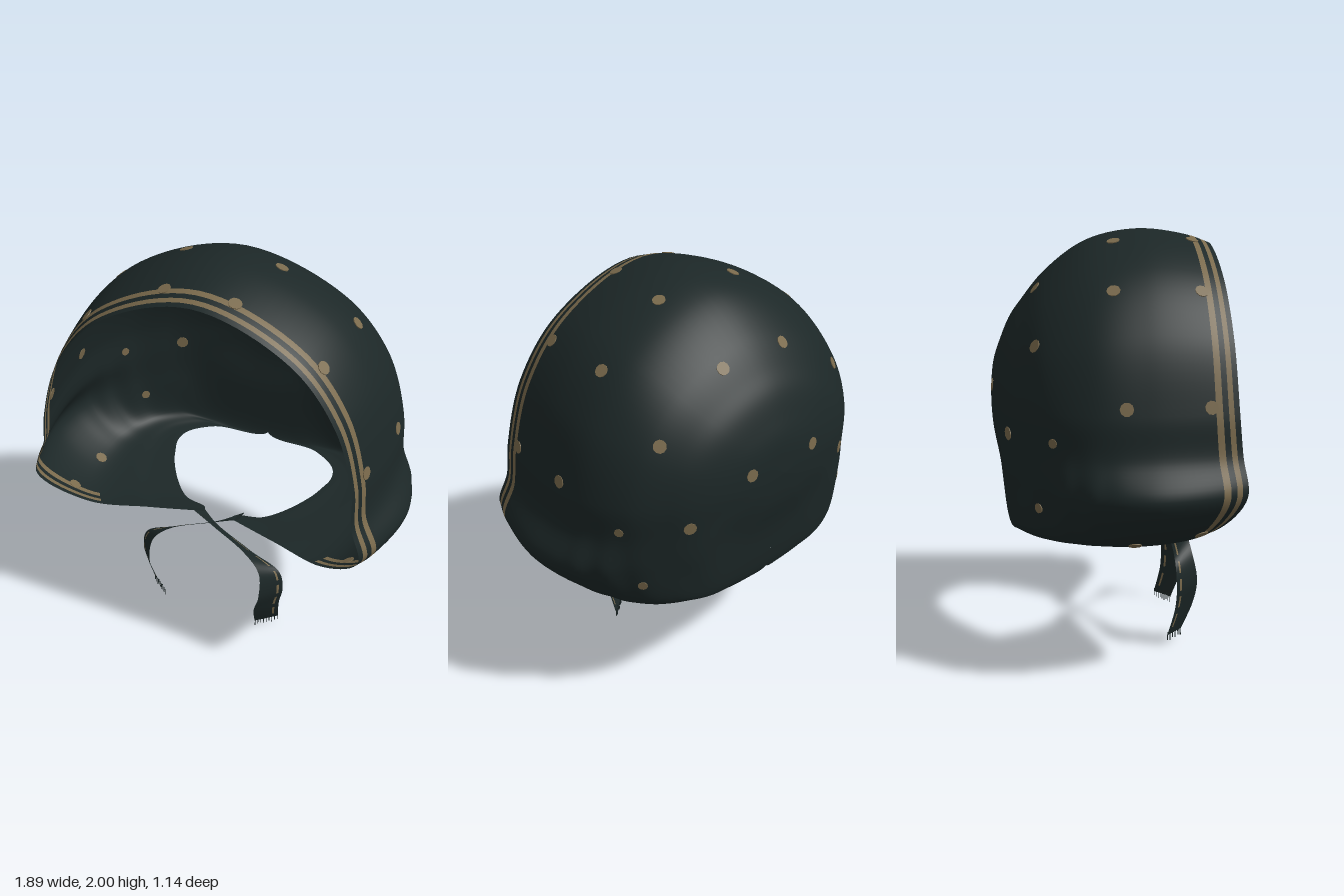
import * as THREE from 'three';

const cloth = new THREE.MeshStandardMaterial({ color: 0x1c2727, side: THREE.DoubleSide });
cloth.name = 'dark teal cloth';
const gold = new THREE.MeshStandardMaterial({ color: 0x7a6a4c, side: THREE.DoubleSide });
gold.name = 'dull gold print';

// Grid of points (rows of equal length) to a sheet; isGold(row, col) picks the colour of each cell
function sheet(rows, isGold) {
  const geo = new THREE.BufferGeometry();
  const n = rows[0].length, faces = [[], []];
  geo.setAttribute('position', new THREE.Float32BufferAttribute(rows.flat().flatMap(p => [p.x, p.y, p.z]), 3));
  for (let r = 0; r < rows.length - 1; r++) {
    for (let c = 0; c < n - 1; c++) {
      const a = r * n + c, b = a + 1, d = a + n, e = d + 1;
      faces[isGold(r, c) ? 1 : 0].push(a, b, d, b, e, d);
    }
  }
  geo.setIndex(faces.flat());
  geo.addGroup(0, faces[0].length, 0);
  geo.addGroup(faces[0].length, faces[1].length, 1);
  geo.computeVertexNormals();
  return geo;
}

// Arched sections from face rim to crown of the back:
// z, top y, half width, flare half width, lower half width, neck hole half width, bottom y, rim sweep
const SECTIONS = [
  [0.50, 1.935, 0.765, 0.83, 0.62, 0.07, 0.59, 1],
  [0.40, 1.97, 0.795, 0.88, 0.68, 0.09, 0.575, 0.8],
  [0.15, 2.00, 0.835, 0.945, 0.74, 0.22, 0.565, 0],
  [-0.10, 1.945, 0.825, 0.89, 0.74, 0.40, 0.575, 0],
  [-0.30, 1.80, 0.73, 0.73, 0.66, 0.44, 0.59, 0],
  [-0.42, 1.655, 0.59, 0.57, 0.52, 0.30, 0.60, 0],
  [-0.475, 1.575, 0.50, 0.47, 0.36, 0, 0.605, 0],
  [-0.52, 1.47, 0.38, 0.34, 0.20, 0, 0.88, 0],
  [-0.555, 1.36, 0.21, 0.18, 0.10, 0, 1.04, 0],
  [-0.57, 1.20, 0, 0, 0, 0, 1.20, 0],
];
const SWEEP = [0, 0.01, 0.025, 0.04, 0.055, 0.07, -0.05, -0.16, -0.25];
const STEPS = 12, COLS = 144;

function halfSection([z, top, w, flare, low, hole, by, sweep]) {
  const mid = 1.2, up = k => mid + k * (top - mid), down = k => by + k * (mid - by);
  return [
    [0, top], [0.59 * w, up(0.775)], [0.875 * w, up(0.42)], [w, mid],
    [w + 0.25 * (flare - w), down(0.7)], [flare, down(0.42)],
    [low, down(0.075)], [(low + hole) / 2, down(0.015)], [hole, by],
  ].map(([x, y], i) => new THREE.Vector3(x, y, z + SWEEP[i] * sweep));
}

function shellRows() {
  const halves = SECTIONS.map(halfSection);
  const rails = SWEEP.map((_, j) => new THREE.CatmullRomCurve3(halves.map(h => h[j])));
  const count = (SECTIONS.length - 1) * STEPS;
  const rows = [];
  for (let r = 0; r <= count; r++) {
    const half = rails.map(c => c.getPoint(r / count));
    half.forEach(p => { p.x = Math.max(0, p.x); });
    const mirrored = half.slice(1).reverse().map(p => new THREE.Vector3(-p.x, p.y, p.z));
    const arch = new THREE.CatmullRomCurve3([...mirrored, ...half]);
    const row = [];
    for (let c = 0; c <= COLS; c++) {
      const p = arch.getPoint(c / COLS);
      // soft gathers low on the sides
      const fold = Math.exp(-(((p.z + 0.2) / 0.13) ** 2) - ((p.y - 0.8) / 0.17) ** 2);
      p.x += Math.sign(p.x) * 0.008 * fold * Math.sin(p.z * 48);
      row.push(p);
    }
    rows.push(row);
  }
  return rows;
}

// Printed dots for one side: target point near the shell, size
const DOTS = [
  [0.21, 1.97, 0.01, 1], [0.61, 1.73, 0.01, 1], [0.84, 1.22, 0.05, 1], [0.74, 0.64, 0.09, 1],
  [0.20, 1.74, -0.36, 1], [0.57, 1.49, -0.36, 1], [0.20, 1.26, -0.56, 1], [0.50, 1.09, -0.45, 1],
  [0.77, 1.08, -0.28, 0.7], [0.68, 0.77, -0.33, 0.75],
  [0.19, 1.95, 0.395, 1], [0.56, 1.72, 0.40, 1], [0.80, 1.23, 0.42, 1], [0.72, 0.66, 0.37, 1],
];

function addDots(group, geo) {
  const pos = geo.attributes.position, nor = geo.attributes.normal;
  const disc = new THREE.CylinderGeometry(0.031, 0.031, 0.006, 10);
  const p = new THREE.Vector3(), n = new THREE.Vector3(), up = new THREE.Vector3(0, 1, 0);
  for (const side of [-1, 1]) for (const [x, y, z, size] of DOTS) {
    const target = new THREE.Vector3(x * side, y, z);
    let best = 0, bestD = Infinity;
    for (let i = 0; i < pos.count; i++) {
      const d = p.fromBufferAttribute(pos, i).distanceToSquared(target);
      if (d < bestD) { bestD = d; best = i; }
    }
    const dot = new THREE.Mesh(disc, gold);
    dot.name = 'printedDot';
    dot.scale.set(size, 1, size);
    dot.position.fromBufferAttribute(pos, best);
    dot.quaternion.setFromUnitVectors(up, n.fromBufferAttribute(nor, best).normalize());
    group.add(dot);
  }
}

// Ribbon tie: centre points and half-width vectors
const TIE = [
  [[0.12, 0.58, 0.21], [0, 0.008, 0.04]],
  [[0.00, 0.55, 0.27], [0, 0.02, 0.03]],
  [[-0.20, 0.505, 0.34], [0.01, 0.028, 0.035]],
  [[-0.33, 0.42, 0.36], [0.035, 0.015, 0.045]],
  [[-0.35, 0.30, 0.375], [0.045, 0, 0.055]],
  [[-0.325, 0.18, 0.365], [0.05, 0, 0.05]],
  [[-0.31, 0.04, 0.32], [0.05, 0, 0.04]],
];

function addTie(group, side, name) {
  const v = a => new THREE.Vector3(a[0] * side, a[1], a[2]);
  const centre = new THREE.CatmullRomCurve3(TIE.map(t => v(t[0])));
  const width = new THREE.CatmullRomCurve3(TIE.map(t => v(t[1])));
  const at = (t, k) => centre.getPoint(t).addScaledVector(width.getPoint(t), k);
  const rows = [-1, -0.68, -0.5, 0, 1].map(k =>
    Array.from({ length: 49 }, (_, i) => at(i / 48, k)));
  const tie = new THREE.Group();
  tie.name = name;
  // broken gold line near the outer edge
  const band = new THREE.Mesh(sheet(rows, (r, c) => r === 1 && c > 10 && c % 6 < 4), [cloth, gold]);
  band.name = 'ribbon';
  tie.add(band);
  // frayed end
  const strand = new THREE.BoxGeometry(0.003, 0.04, 0.003);
  for (let i = 0; i < 9; i++) {
    const thread = new THREE.Mesh(strand, cloth);
    thread.name = 'fringeThread';
    thread.position.copy(at(1, -0.95 + i * 0.2375));
    thread.position.y -= 0.003 + 0.005 * (i % 3);
    tie.add(thread);
  }
  // one tie crosses over the other
  tie.position.set(0, side < 0 ? -0.007 : 0.007, side < 0 ? 0.008 : 0);
  group.add(tie);
}

export function createModel() {
  const bonnet = new THREE.Group();
  bonnet.name = 'bonnet';
  // hood with two printed stripes behind the face rim, ending under the cheeks
  const stripe = (r, c) => c >= 16 && c < COLS - 16 && ((r >= 3 && r < 6) || (r >= 9 && r < 12));
  const geo = sheet(shellRows(), stripe);
  const hood = new THREE.Mesh(geo, [cloth, gold]);
  hood.name = 'hood';
  bonnet.add(hood);
  addDots(bonnet, geo);
  addTie(bonnet, 1, 'rightTie');
  addTie(bonnet, -1, 'leftTie');
  return bonnet;
}
